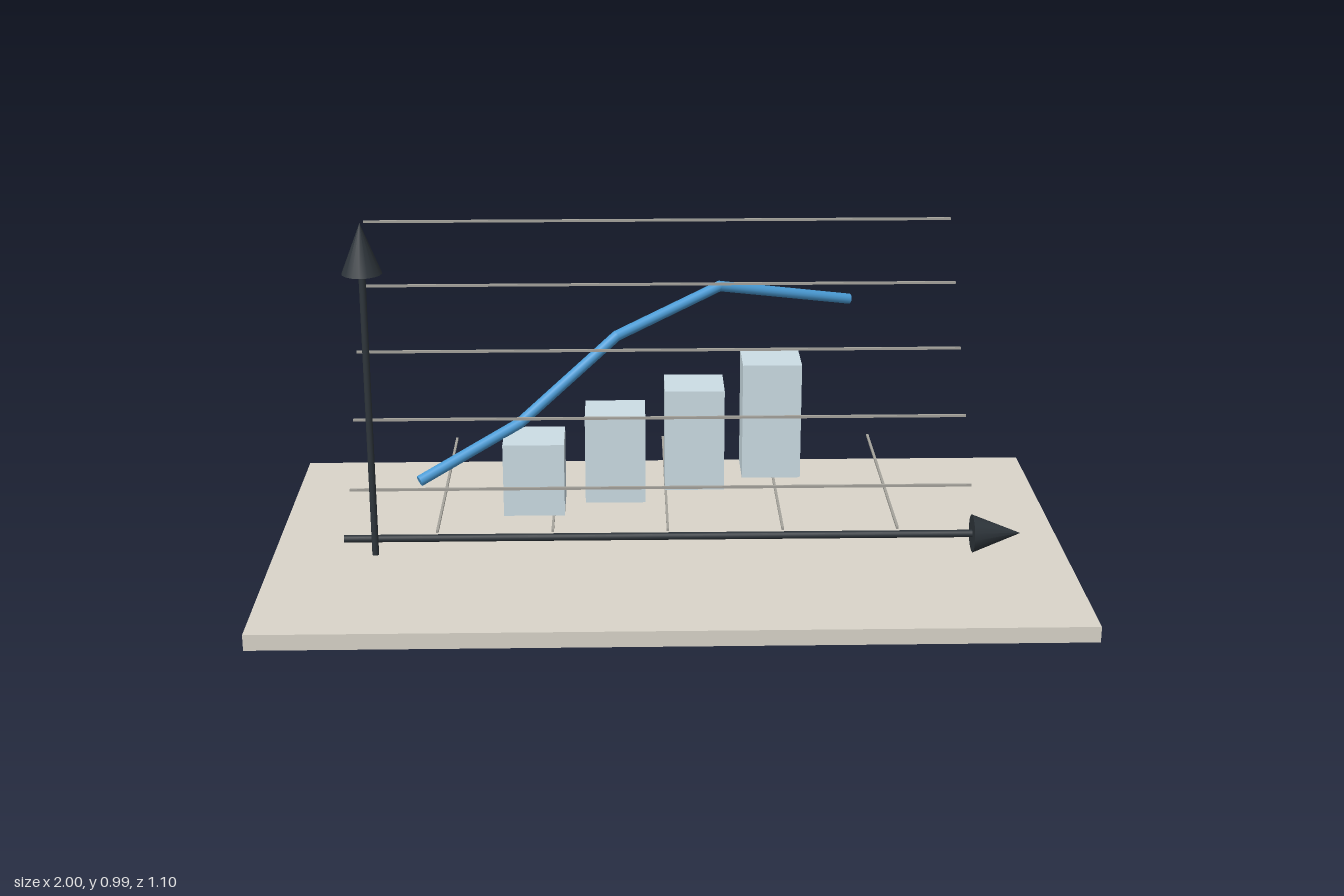
import * as THREE from 'three';

const material = (name, color) => {
  const m = new THREE.MeshStandardMaterial({ color });
  m.name = name;
  return m;
};

export function createModel() {
  const chart = new THREE.Group();
  chart.name = 'chart';
  const stone = material('warm grey', 0xdad5ca);
  const pale = material('pale blue grey', 0xccdde5);
  const blue = material('blue', 0x4b9cd6);
  const dark = material('dark slate', 0x2e353b);
  const wire = material('mid grey', 0xa5a39c);

  const add = (name, geometry, mat, x, y, z, parent = chart) => {
    const mesh = new THREE.Mesh(geometry, mat);
    mesh.name = name;
    mesh.position.set(x, y, z);
    parent.add(mesh);
    return mesh;
  };
  const box = (w, h, d) => new THREE.BoxGeometry(w, h, d);

  // Base slab
  add('base', box(2, 0.04, 1.1), stone, 0, 0.02, 0);

  // Axis arrows: shaft and cone, built upward from the start point
  const arrow = (name, shaftLength, radius) => {
    const group = new THREE.Group();
    group.name = name;
    add('shaft', new THREE.CylinderGeometry(radius, radius, shaftLength, 16), dark, 0, shaftLength / 2, 0, group);
    add('arrowhead', new THREE.ConeGeometry(0.046, 0.117, 16), dark, 0, shaftLength + 0.0585, 0, group);
    chart.add(group);
    return group;
  };
  arrow('verticalAxis', 0.688, 0.008).position.set(-0.7, 0.181, 0.414);
  const horizontal = arrow('horizontalAxis', 1.512, 0.009);
  horizontal.rotation.z = -Math.PI / 2;
  horizontal.position.set(-0.786, 0.181, 0.32);

  // Sloping row of long lines and flat row of floor lines
  for (let i = 0; i < 5; i++) {
    add('levelLine', box(1.485, 0.006, 0.006), wire, -0.024, 0.307 + i * 0.1335, 0.32 - i * 0.12);
    add('floorLine', box(0.006, 0.006, 0.645), wire, -0.567 + i * 0.2795, 0.179, -0.045);
  }

  // Four bars of rising height
  for (let i = 0; i < 4; i++) {
    const h = 0.185 + i * 0.04;
    add('bar', box(0.15, h, 0.132), pale, -0.335 + i * 0.2, 0.182 + h / 2, 0.122 - i * 0.0805);
  }

  // Trend line: a rod for each segment, rounded joints
  const points = [
    [-0.61, 0.291, 0.226], [-0.37, 0.395, 0.105], [-0.13, 0.582, -0.012],
    [0.132, 0.675, -0.132], [0.48, 0.595, -0.28],
  ].map((p) => new THREE.Vector3(...p));
  const up = new THREE.Vector3(0, 1, 0);
  for (let i = 0; i < 4; i++) {
    const [a, b] = [points[i], points[i + 1]];
    const span = b.clone().sub(a);
    const mid = a.clone().add(b).multiplyScalar(0.5);
    const rod = add('trendSegment', new THREE.CylinderGeometry(0.0135, 0.0135, span.length(), 16), blue, mid.x, mid.y, mid.z);
    rod.quaternion.setFromUnitVectors(up, span.normalize());
    if (i > 0) add('trendJoint', new THREE.SphereGeometry(0.0135, 16, 12), blue, a.x, a.y, a.z);
  }
  return chart;
}
